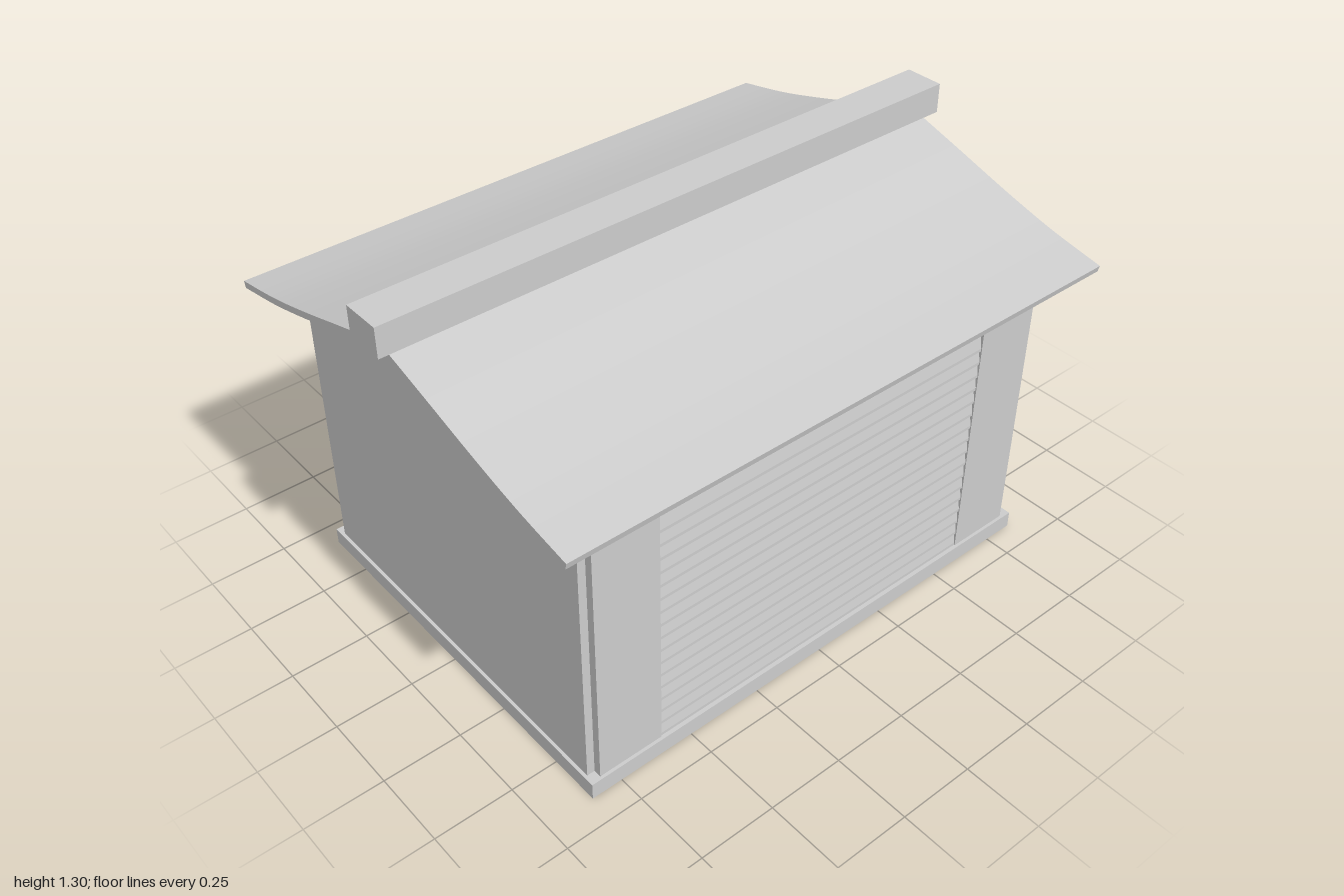
import * as THREE from 'three';
import { toCreasedNormals } from 'three/addons/utils/BufferGeometryUtils.js';

export function createModel() {
  const group = new THREE.Group();
  const grey = new THREE.MeshStandardMaterial({ color: 0xcccccc });
  grey.name = 'plain grey';

  const add = (name, geometry, parent = group) => {
    const mesh = new THREE.Mesh(geometry, grey);
    mesh.name = name;
    parent.add(mesh);
    return mesh;
  };
  // Box given by its lower and upper corners
  const box = (name, x0, x1, y0, y1, z0, z1) => {
    const mesh = add(name, new THREE.BoxGeometry(x1 - x0, y1 - y0, z1 - z0));
    mesh.position.set((x0 + x1) / 2, (y0 + y1) / 2, (z0 + z1) / 2);
    return mesh;
  };
  const toShape = (points) => new THREE.Shape(points.map(([x, y]) => new THREE.Vector2(x, y)));

  // Base slab
  box('base', -0.85, 0.85, 0, 0.055, -0.665, 0.665);

  // Walls: plan with notched corners and a shallow doorway recess at the front
  const plan = toShape([
    [-0.815, -0.655], [-0.6, -0.655], [-0.6, -0.63], [0.6, -0.63], [0.6, -0.655], [0.815, -0.655],
    [0.815, -0.63], [0.84, -0.63], [0.84, 0.63], [0.815, 0.63],
    [0.815, 0.655], [-0.815, 0.655], [-0.815, 0.63], [-0.84, 0.63],
    [-0.84, -0.63], [-0.815, -0.63],
  ]);
  const walls = new THREE.ExtrudeGeometry(plan, { depth: 0.945, bevelEnabled: false });
  walls.rotateX(-Math.PI / 2).translate(0, 0.055, 0);
  add('walls', walls);
  box('doorLintel', -0.6, 0.6, 0.87, 1, 0.63, 0.655);

  // Roller shutter: sloping slats, each overhanging the next
  const shutter = new THREE.Group();
  shutter.name = 'rollerShutter';
  group.add(shutter);
  const count = 17, pitch = 0.8 / count;
  const slatShape = toShape([[0.63, 0], [0.652, 0], [0.652, 0.01], [0.645, pitch], [0.63, pitch]]);
  const slat = new THREE.ExtrudeGeometry(slatShape, { depth: 1.2, bevelEnabled: false });
  slat.rotateY(-Math.PI / 2).translate(0.6, 0, 0);
  for (let i = 0; i < count; i++) add('shutterSlat', slat, shutter).position.y = 0.055 + i * pitch;

  // Plate under the front eave
  box('frontPlate', -0.2, 0.2, 0.907, 0.985, 0.655, 0.666);

  // Roof: thin sheet sweeping outward from the ridge
  const curve = new THREE.SplineCurve([
    [0, 1.206], [0.2, 1.146], [0.4, 1.085], [0.58, 1.037], [0.758, 1.002],
  ].map(([z, y]) => new THREE.Vector2(z, y)));
  const top = curve.getPoints(16).map((p) => [p.x, p.y]);
  const under = top.map(([z, y], i) => (i === 0 ? [0, y - 0.021] : [z - 0.005, y - 0.021]));
  const mirror = (points) => points.slice(1).map(([z, y]) => [-z, y]);
  const section = toShape([
    ...mirror(top).reverse(), ...top, ...under.slice().reverse(), ...mirror(under),
  ]);
  const roof = new THREE.ExtrudeGeometry(section, { depth: 1.92, bevelEnabled: false });
  roof.translate(0, 0, -0.96).rotateY(-Math.PI / 2);
  add('roof', toCreasedNormals(roof, 0.4));

  // Ridge beam
  box('ridgeBeam', -1, 1, 1.205, 1.3, -0.064, 0.064);

  return group;
}
